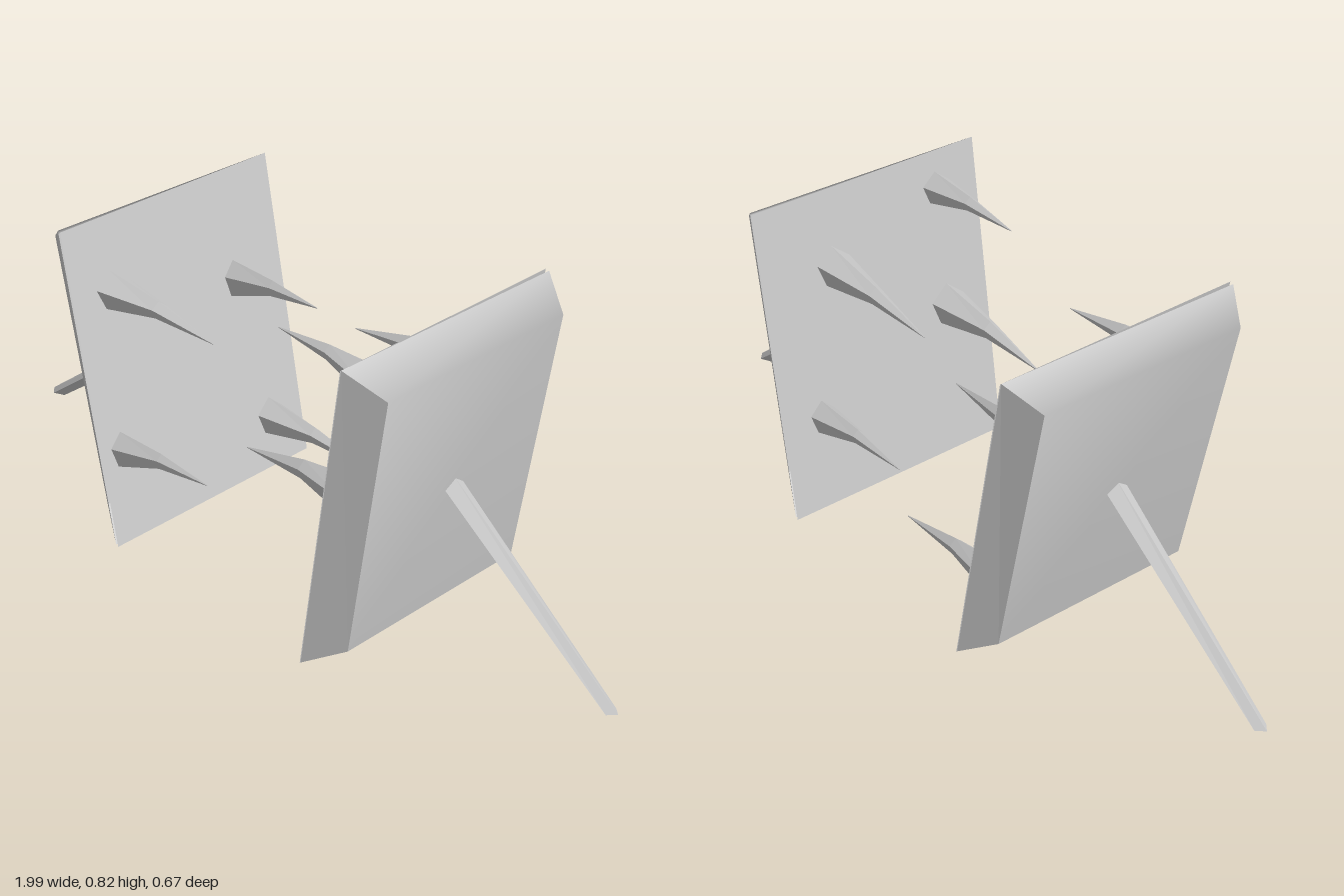
import * as THREE from 'three';
import { mergeVertices } from 'three/addons/utils/BufferGeometryUtils.js';

const material = new THREE.MeshStandardMaterial({ color: 0xcccccc, side: THREE.DoubleSide });

// Builds faces from polygons (lists of [x, y, z]); smooth shares the corners.
function faces(name, polygons, smooth = false) {
  const positions = [];
  for (const p of polygons) {
    for (let i = 1; i < p.length - 1; i++) positions.push(...p[0], ...p[i], ...p[i + 1]);
  }
  let geometry = new THREE.BufferGeometry();
  geometry.setAttribute('position', new THREE.Float32BufferAttribute(positions, 3));
  if (smooth) geometry = mergeVertices(geometry);
  geometry.computeVertexNormals();
  const mesh = new THREE.Mesh(geometry, material);
  mesh.name = name;
  return mesh;
}

// Joins rings of corners into a closed, faceted solid.
function loft(name, rings) {
  const polygons = [[...rings[0]].reverse(), rings[rings.length - 1]];
  for (let r = 0; r < rings.length - 1; r++) {
    const a = rings[r], b = rings[r + 1];
    a.forEach((_, k) => {
      const n = (k + 1) % a.length;
      polygons.push([a[k], a[n], b[n], b[k]]);
    });
  }
  return faces(name, polygons);
}

// Leaning slab with bevelled rim; inner and outer give [x, y] at bottom and top.
function makeSlab(inner, outer) {
  const slab = new THREE.Group();
  slab.name = 'slab';
  const corners = ([b, t], z, shift = 0) => [
    [b[0], b[1], z], [b[0] - shift, b[1], -z],
    [t[0] - shift, t[1], -z], [t[0], t[1], z],
  ];
  const i = corners(inner, 0.33);
  const o = corners(outer, 0.28);
  const bevel = (k) => [i[k], i[(k + 1) % 4], o[(k + 1) % 4], o[k]];
  slab.add(
    faces('outerShell', [o, bevel(1), bevel(2)], true),
    faces('flatBevels', [bevel(0), bevel(3)]),
    // The inner plate stands slightly off the shell along one edge.
    faces('innerPlate', [corners(inner, 0.333, 0.012).reverse()]),
  );
  return slab;
}

// Bent spike pointing toward -x.
const section = [[1, 0], [0.2, -1], [-1, -0.6], [-1, 0.6], [0.2, 1]];
function makeSpike([baseX, baseY, baseZ, tipX, tipY, tipZ, halfH, halfW, kneeY]) {
  const ring = (x, y, z, h, w, lean = 0) =>
    section.map(([v, u]) => [x + v * h * lean, y + v * h, z + u * w]);
  const kneeX = (baseX + tipX) / 2 + 0.01;
  return loft('spike', [
    ring(baseX, baseY, baseZ, halfH, halfW, 0.16),
    ring(kneeX, kneeY, baseZ * 0.45 + tipZ * 0.55, halfH * 0.45, halfW * 0.42),
    ring(tipX, tipY, tipZ, 0.001, 0.001),
  ]);
}

// Four-sided prop running outward to the ground.
function makeStrut(end) {
  return loft('strut', [
    [[0.47, 0.45, 0], [0.47, 0.425, 0.03], [0.47, 0.395, 0], [0.47, 0.425, -0.03]],
    [[end, 0.05, 0], [end - 0.02, 0.047, 0.018], [end - 0.045, 0.043, 0], [end - 0.02, 0.047, -0.018]],
  ]);
}

function makeSide(name, inner, outer, strutEnd, spikes) {
  const side = new THREE.Group();
  side.name = name;
  side.add(makeSlab(inner, outer), makeStrut(strutEnd), ...spikes.map(makeSpike));
  return side;
}

export function createModel() {
  const model = new THREE.Group();
  model.name = 'spikedTrap';

  // Spikes: base x, y, z, tip x, y, z, half height, half width, knee y.
  const left = makeSide('leftSide',
    [[0.335, 0.005], [0.455, 0.822]], [[0.437, 0.066], [0.543, 0.762]], 0.99, [
      [0.43, 0.735, 0.2, 0.12, 0.742, 0.19, 0.038, 0.04, 0.748],
      [0.41, 0.635, -0.13, 0.05, 0.595, -0.125, 0.047, 0.048, 0.625],
      [0.385, 0.422, 0.2, 0.02, 0.39, 0.2, 0.05, 0.05, 0.42],
      [0.36, 0.255, -0.215, 0.04, 0.265, -0.215, 0.04, 0.036, 0.272],
    ]);

  // The other side is built the same way and turned to face the first.
  const right = makeSide('rightSide',
    [[0.33, 0.005], [0.485, 0.817]], [[0.42, 0.06], [0.565, 0.76]], 1.0, [
      [0.445, 0.64, -0.21, 0.09, 0.62, -0.2, 0.044, 0.05, 0.642],
      [0.42, 0.547, 0.165, 0.12, 0.57, 0.165, 0.045, 0.032, 0.567],
      [0.36, 0.25, -0.27, 0.05, 0.28, -0.265, 0.043, 0.034, 0.276],
      [0.34, 0.16, 0.21, -0.01, 0.145, 0.215, 0.046, 0.042, 0.165],
    ]);
  right.rotation.y = Math.PI;

  model.add(left, right);
  return model;
}
